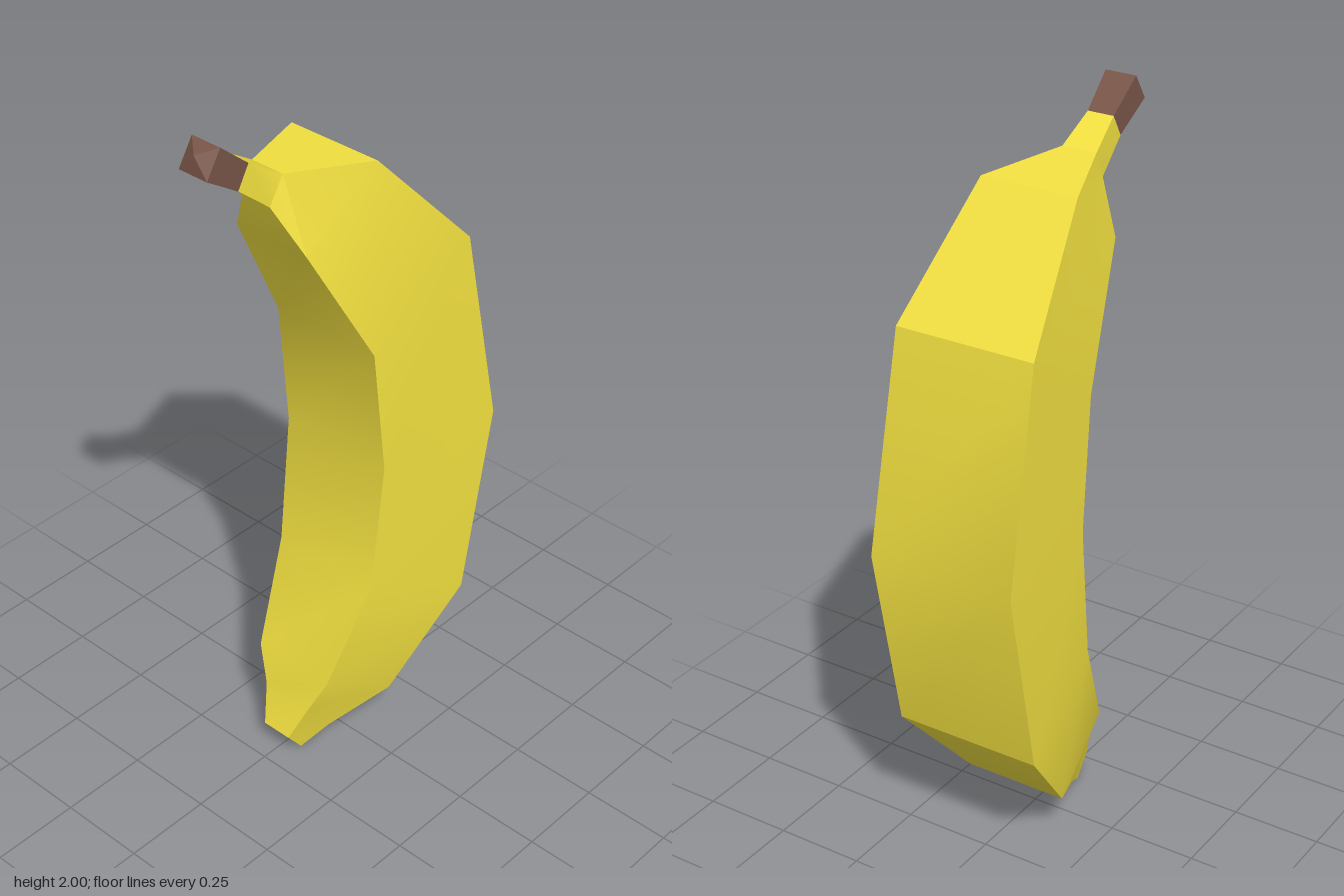
import * as THREE from 'three';
import { toCreasedNormals } from 'three/addons/utils/BufferGeometryUtils.js';

// Each section: inner (front) z, y, half width, then outer (back) z, y, half width
const tip = [0.2, 0.07, 0.045, 0.15, 0.005, 0.045];
const stemBase = [0.335, 1.86, 0.038, 0.3, 1.92, 0.038];
const stemEnd = [0.44, 1.93, 0.045, 0.395, 2.0, 0.045];
const peelSections = [
  tip,
  [0.155, 0.17, 0.08, 0.07, 0.05, 0.075],
  [0.13, 0.27, 0.125, -0.1, 0.125, 0.15],
  [0.0, 0.55, 0.165, -0.33, 0.39, 0.21],
  [-0.04, 0.93, 0.17, -0.435, 0.93, 0.21],
  [0.0, 1.3, 0.165, -0.315, 1.52, 0.2],
  [0.19, 1.65, 0.115, -0.03, 1.83, 0.14],
  [0.24, 1.78, 0.045, 0.2, 1.855, 0.05],
  stemBase,
];

// Four corners of a section, counterclockwise seen from the stem
const corners = ([fz, fy, fw, bz, by, bw]) => [
  [fw, fy, fz], [bw, by, bz], [-bw, by, bz], [-fw, fy, fz],
];

// Skin a run of sections, with an optional pointed cap at either end
function loft(sections, startApex, endApex) {
  const rings = sections.map(corners);
  const out = [];
  const tri = (...points) => points.forEach((p) => out.push(...p));
  for (let s = 0; s < rings.length - 1; s++) {
    for (let i = 0; i < 4; i++) {
      const j = (i + 1) % 4;
      const [a, b, c, d] = [rings[s][i], rings[s][j], rings[s + 1][j], rings[s + 1][i]];
      tri(a, b, c);
      tri(a, c, d);
    }
  }
  const first = rings[0], last = rings[rings.length - 1];
  for (let i = 0; i < 4; i++) {
    const j = (i + 1) % 4;
    if (startApex) tri(first[j], first[i], startApex);
    if (endApex) tri(last[i], last[j], endApex);
  }
  const geometry = new THREE.BufferGeometry();
  geometry.setAttribute('position', new THREE.Float32BufferAttribute(out, 3));
  return toCreasedNormals(geometry, 0.45);
}

export function createModel() {
  const group = new THREE.Group();
  group.name = 'banana';
  const add = (name, geometry, color) => {
    const material = new THREE.MeshStandardMaterial({ color, side: THREE.DoubleSide });
    const mesh = new THREE.Mesh(geometry, material);
    mesh.name = name;
    group.add(mesh);
  };

  // Curved yellow body, running into the neck
  add('peel', loft(peelSections), 0xf2e040);
  // Brown stem with a slightly pointed cut end
  add('stem', loft([stemBase, stemEnd], null, [0, 1.98, 0.435]), 0x795548);
  // Dark flat blossom end
  add('blossomEnd', loft([tip], [0, 0.0375, 0.175]), 0x5d4037);
  return group;
}
